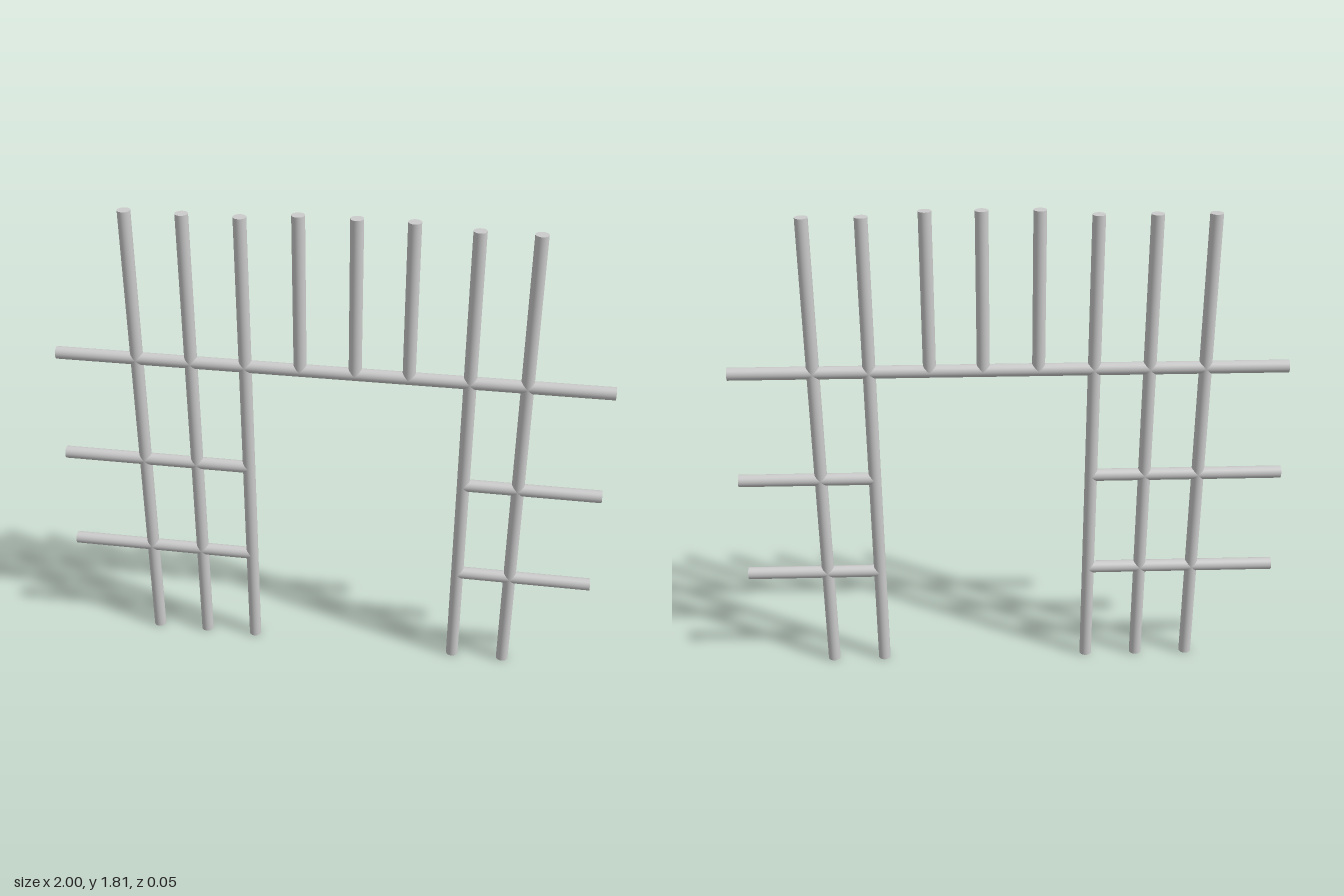
import * as THREE from 'three';

const RADIUS = 0.023;
const material = new THREE.MeshStandardMaterial({ color: 0xcccccc });

// Round capped bar between two points in the z = 0 plane
function bar(name, x0, y0, x1, y1) {
  const length = Math.hypot(x1 - x0, y1 - y0);
  const mesh = new THREE.Mesh(new THREE.CylinderGeometry(RADIUS, RADIUS, length, 32), material);
  mesh.name = name;
  mesh.position.set((x0 + x1) / 2, (y0 + y1) / 2, 0);
  mesh.rotation.z = Math.atan2(y1 - y0, x1 - x0) - Math.PI / 2;
  return mesh;
}

export function createModel() {
  const model = new THREE.Group();
  model.name = 'barFrame';
  const beamY = 1.227;

  // Full-height posts on both sides of the opening
  for (const x of [-0.692, -0.493, -0.295, 0.502, 0.70]) {
    model.add(bar('post', x, 0, x, 1.79));
  }

  // Short uprights standing on the beam above the opening
  for (const x of [-0.097, 0.099, 0.289]) {
    model.add(bar('shortUpright', x, beamY, x, 1.808));
  }

  // Long beam across the whole width
  model.add(bar('beam', -0.99, beamY, 1, beamY));

  // Side rails, stopping at the posts beside the opening
  for (const y of [0.4, 0.8]) {
    model.add(bar('rightRail', -1, y, -0.295, y));
    model.add(bar('leftRail', 0.502, y, 1, y));
  }
  return model;
}
